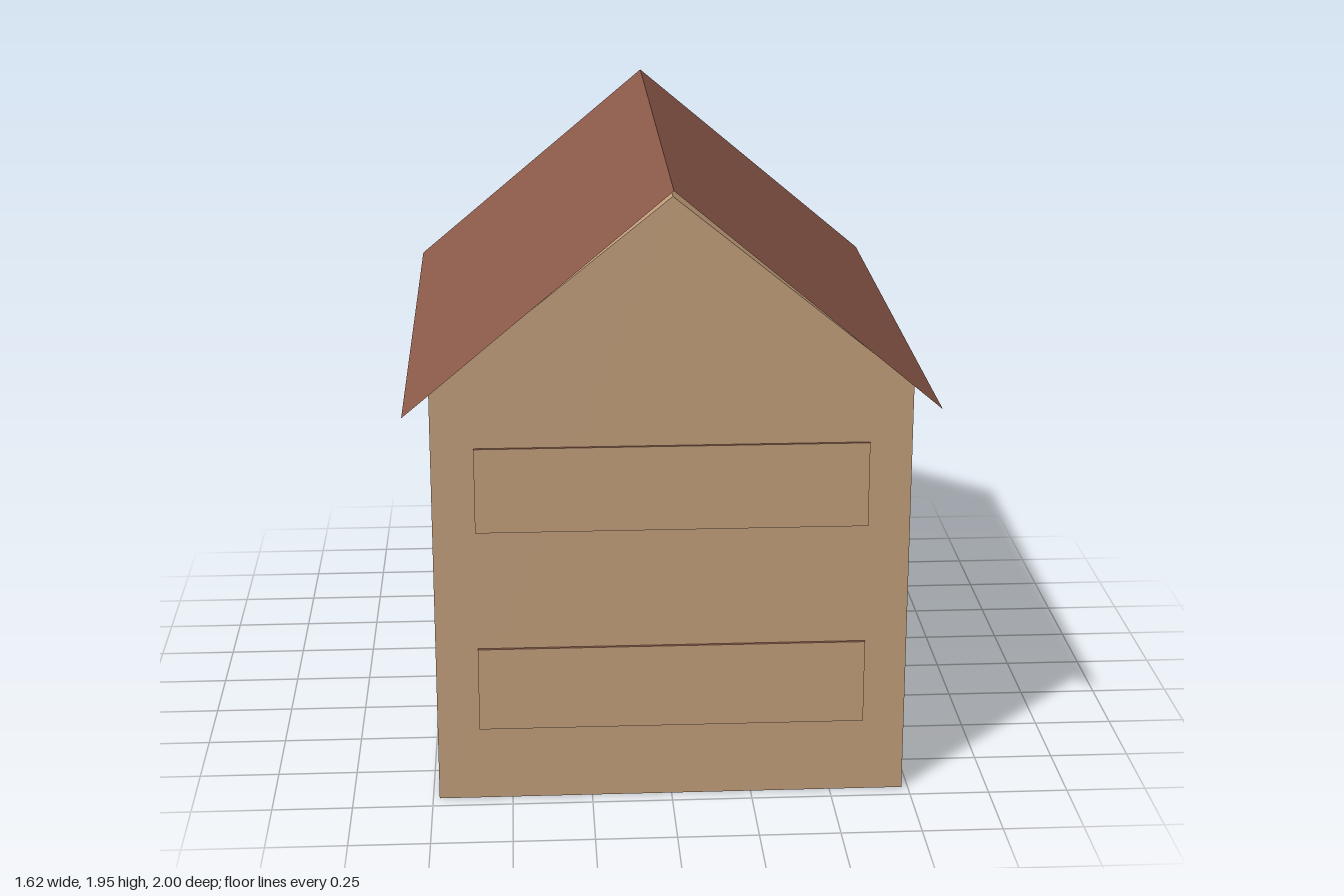
import * as THREE from 'three';

const wallMat = new THREE.MeshStandardMaterial({ color: 0xc4a07c });
wallMat.name = 'tan wall';
const brownMat = new THREE.MeshStandardMaterial({ color: 0x8d5a4a });
brownMat.name = 'brown';
const roofMat = new THREE.MeshStandardMaterial({ color: 0x8d5a4a, side: THREE.DoubleSide });
roofMat.name = 'brown roof';

const HALF_W = 0.73, DEPTH = 1.9, WALL_H = 1.335, GABLE_H = 1.925;
const ROOF_X = 0.81, EAVE_Y = 1.273, RIDGE_Y = 1.952, ROOF_Z = 2;

export function createModel() {
  const house = new THREE.Group();
  house.name = 'house';

  const add = (name, geometry, material, x = 0, y = 0, z = 0) => {
    const mesh = new THREE.Mesh(geometry, material);
    mesh.name = name;
    mesh.position.set(x, y, z);
    house.add(mesh);
    return mesh;
  };

  // Body with gable ends, standing on the ground
  const outline = new THREE.Shape([
    [-HALF_W, 0], [HALF_W, 0], [HALF_W, WALL_H], [0, GABLE_H], [-HALF_W, WALL_H],
  ].map(([x, y]) => new THREE.Vector2(x, y)));
  const body = new THREE.ExtrudeGeometry(outline, { depth: DEPTH, bevelEnabled: false });
  add('walls', body, wallMat, 0, 0, -DEPTH / 2);

  // Brown underside
  const floor = new THREE.PlaneGeometry(HALF_W * 2, DEPTH).rotateX(Math.PI / 2);
  add('floor', floor, brownMat, 0, -0.001, 0);

  // Two thin roof sheets meeting at the ridge
  const slope = Math.hypot(ROOF_X, RIDGE_Y - EAVE_Y);
  const pitch = Math.atan2(RIDGE_Y - EAVE_Y, ROOF_X);
  for (const side of [-1, 1]) {
    const sheet = new THREE.PlaneGeometry(slope, ROOF_Z).rotateX(-Math.PI / 2);
    const roof = add(side > 0 ? 'leftRoof' : 'rightRoof', sheet, roofMat,
      side * ROOF_X / 2, (EAVE_Y + RIDGE_Y) / 2, 0);
    roof.rotation.z = -side * pitch;
  }

  // Raised panels on both ends: tan faces with brown edges
  const panelMats = [brownMat, brownMat, brownMat, brownMat, wallMat, wallMat];
  for (const end of [-1, 1]) {
    for (const y of [0.372, 1.023]) {
      add(`${end > 0 ? 'front' : 'back'}${y < 1 ? 'Lower' : 'Upper'}Panel`,
        new THREE.BoxGeometry(1.2, 0.268, 0.02), panelMats, 0, y, end * DEPTH / 2);
    }
  }
  return house;
}
